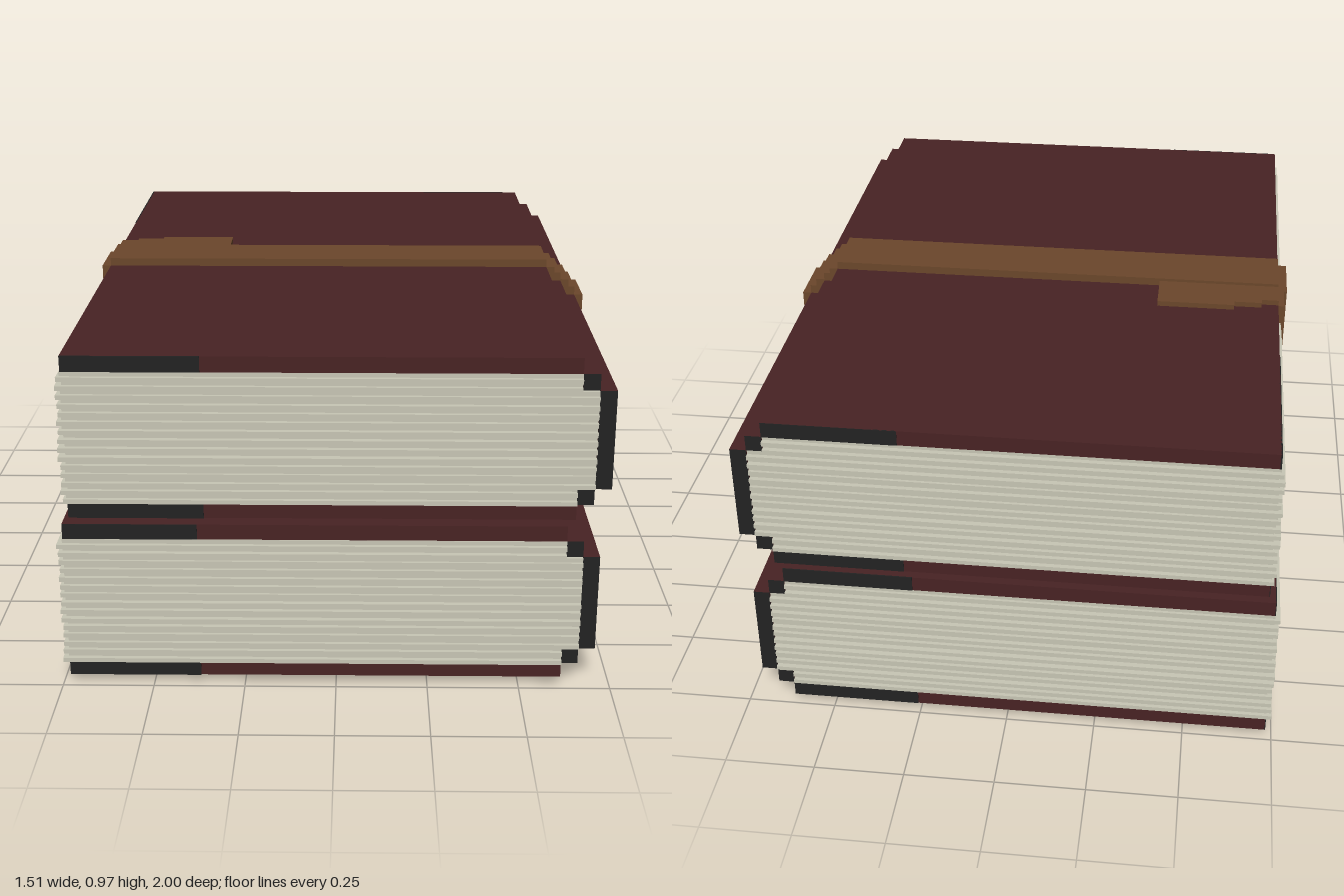
import * as THREE from 'three';

const mat = (name, color) => {
  const m = new THREE.MeshStandardMaterial({ color });
  m.name = name;
  return m;
};

export function createModel() {
  const maroon = mat('maroon cover', 0x482324);
  const dark = mat('dark lining', 0x222222);
  const paper = mat('paper', 0xc8c6b5);
  const leather = mat('brown leather', 0x6b472b);
  // Box material order: +x, -x, +y, -y, +z, -z
  const spineMats = [maroon, maroon, maroon, maroon, dark, dark];

  // Box from its minimum and maximum corners
  function box(parent, name, material, [x0, x1], [y0, y1], [z0, z1]) {
    const m = new THREE.Mesh(new THREE.BoxGeometry(x1 - x0, y1 - y0, z1 - z0), material);
    m.name = name;
    m.position.set((x0 + x1) / 2, (y0 + y1) / 2, (z0 + z1) / 2);
    parent.add(m);
  }

  // Small seeded generator for the ragged sheets
  let seed = 7;
  const rand = () => (seed = (seed * 16807) % 2147483647) / 2147483647;

  const L = -0.71, R = 0.635;      // cover sides
  const B = 0.027, T = 0.477;      // cover bottom and top
  const P = 0.043, S = 0.045;      // board thickness, spine step
  const Z = [-0.99, 0.984];
  const strapZ = [-0.09, 0.085];
  const K = 0.026;                 // strap thickness
  const mid = (B + T) / 2;

  function makeBook() {
    const book = new THREE.Group();

    // Cover boards with dark corners on their edges
    for (const [name, y] of [['bottomCover', [B, B + P]], ['topCover', [T - P, T]]]) {
      box(book, name, maroon, [L, R], y, Z);
      box(book, name + 'FrontPatch', dark, [L, L + 0.36], y, [Z[1] - 0.002, Z[1] + 0.002]);
      box(book, name + 'BackPatch', dark, [R - 0.36, R], y, [Z[0] - 0.002, Z[0] + 0.002]);
      box(book, name + 'SidePatch', dark, [L - 0.002, L + 0.002], y, [Z[0], Z[0] + 0.5]);
    }

    // Rounded dark corner underneath
    const s = new THREE.Shape();
    s.moveTo(0, 0);
    s.lineTo(0.36, 0);
    s.bezierCurveTo(0.36, 0.22, 0.25, 0.36, 0, 0.36);
    s.closePath();
    const corner = new THREE.Mesh(new THREE.ExtrudeGeometry(s, { depth: 0.003, bevelEnabled: false }), dark);
    corner.name = 'undersideCorner';
    corner.rotation.x = -Math.PI / 2;
    corner.position.set(L, B - 0.002, Z[1]);
    book.add(corner);

    // Ragged sheets
    const pages = new THREE.Group();
    pages.name = 'pages';
    const n = 30, y0 = B + P, y1 = T - P, h = (y1 - y0) / n;
    for (let i = 0; i < n; i++) {
      const a = y0 + i * h, inset = i % 2 ? 0.012 : 0;
      const jag = () => inset + rand() * 0.006;
      const inner = a > y0 + S - h / 2 && a + h < y1 - S + h / 2;
      box(pages, 'sheet', paper, [-0.726 + jag(), inner ? 0.68 : R], [a, a + h],
        [i === 10 ? -1 : -1 + jag(), i === 10 ? 1 : 0.999 - jag()]);
    }
    book.add(pages);

    // Stepped spine
    box(book, 'spineBoard', spineMats, [R + S, R + 2 * S], [y0 + S, y1 - S], Z);
    box(book, 'spineStepBottom', spineMats, [R, R + S], [y0, y0 + S], Z);
    box(book, 'spineStepTop', spineMats, [R, R + S], [y1 - S, y1], Z);

    // Strap following the stepped outline
    const strap = new THREE.Group();
    strap.name = 'strap';
    box(strap, 'strapTop', leather, [L, R], [T, T + K - 0.003], strapZ);
    box(strap, 'strapBottom', leather, [L, R], [B - K - 0.001, B], strapZ);
    box(strap, 'strapFore', leather, [L - K, L], [B, T], strapZ);
    box(strap, 'strapSpine', leather, [R + 2 * S, R + 2 * S + K], [y0 + S, y1 - S], strapZ);
    for (const side of [-1, 1]) {
      const span = (p, q) => side > 0 ? [mid + p, mid + q] : [mid - q, mid - p];
      const e = y1 - mid;
      box(strap, 'strapEdge', leather, [R, R + K], span(e, T - mid), strapZ);
      box(strap, 'strapStep', leather, [R + K, R + S], span(e, e + K), strapZ);
      box(strap, 'strapStepSide', leather, [R + S, R + S + K], span(e - S, e + 0.004), strapZ);
      box(strap, 'strapSpineEdge', leather, [R + S + K, R + 2 * S], span(e - S, e - S + K), strapZ);
    }

    // Loose strap end folded over the fore edge
    const flapY = [T, T + 0.015];
    box(strap, 'strapEnd', leather, [-0.58, -0.355], flapY, [-0.222, -0.09]);
    box(strap, 'strapEndMiddle', leather, [-0.66, -0.58], flapY, [-0.2, -0.09]);
    box(strap, 'strapEndFold', leather, [L, -0.66], flapY, [-0.18, -0.09]);
    box(strap, 'strapEndSide', leather, [L - 0.017, L], [B, T], [-0.185, -0.09]);
    book.add(strap);
    return book;
  }

  // Two stacked books, slightly shifted
  const model = new THREE.Group();
  model.name = 'strappedBooks';
  [['lowerBook', -0.02, 0], ['upperBook', 0, 0.47]].forEach(([name, x, y]) => {
    const b = makeBook();
    b.name = name;
    b.position.set(x, y, 0);
    model.add(b);
  });
  return model;
}
